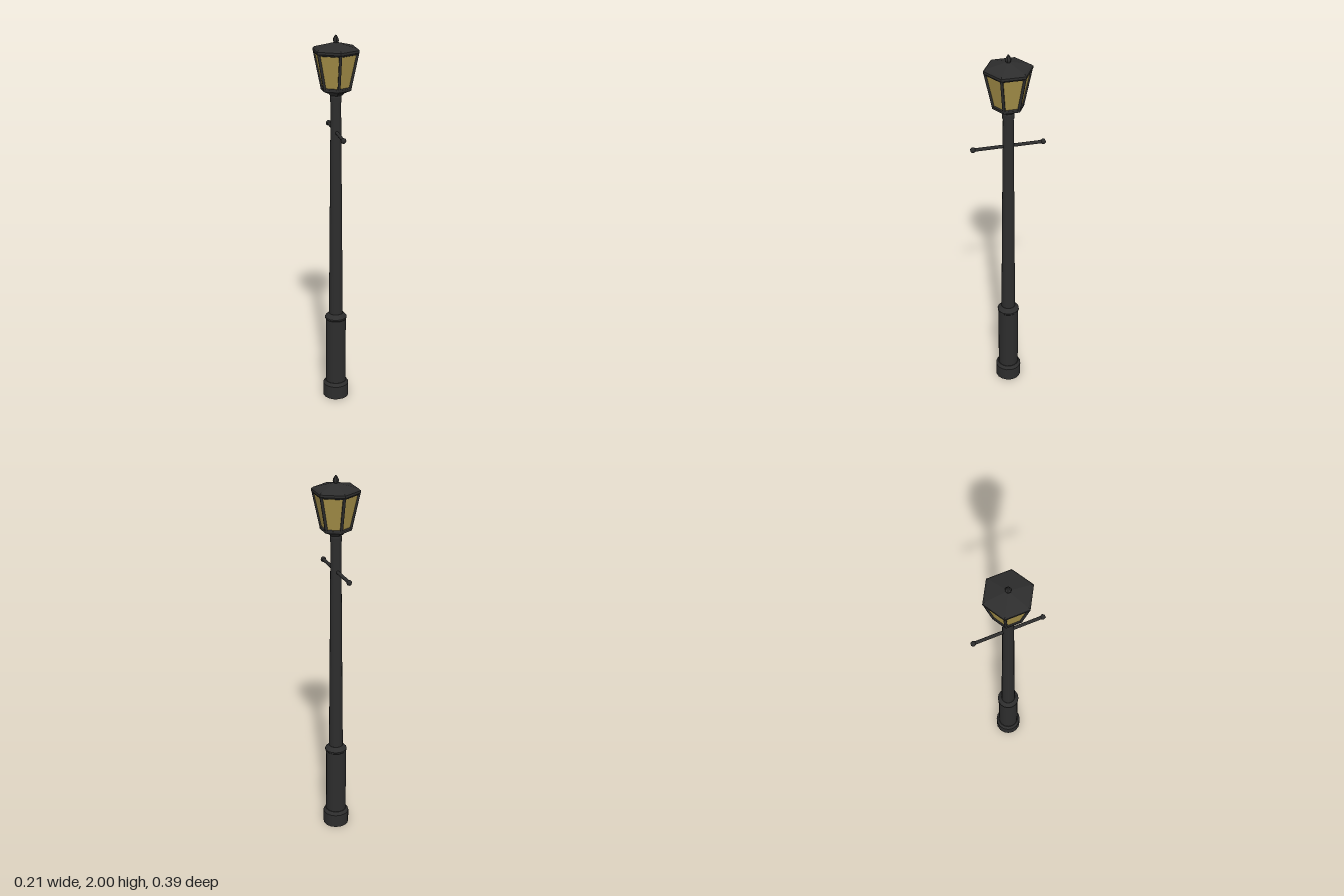
import * as THREE from 'three';

const iron = new THREE.MeshStandardMaterial({ color: 0x2d2d2d });
iron.name = 'blackIron';
const amber = new THREE.MeshStandardMaterial({ color: 0xa8924a });
amber.name = 'amberGlass';

export function createModel() {
  const model = new THREE.Group();
  model.name = 'streetLamp';

  const add = (parent, name, geometry, material = iron) => {
    const mesh = new THREE.Mesh(geometry, material);
    mesh.name = name;
    parent.add(mesh);
    return mesh;
  };

  // Stack of tapered rings from [radius, y] points, sharp between rings, closed at both ends
  const stack = (name, points, sides) => {
    const group = new THREE.Group();
    group.name = name;
    for (let i = 0; i + 1 < points.length; i++) {
      const [r0, y0] = points[i], [r1, y1] = points[i + 1];
      let g = new THREE.CylinderGeometry(r1, r0, y1 - y0, sides, 1, false);
      g.translate(0, (y0 + y1) / 2, 0);
      if (sides === 6) {
        g = g.toNonIndexed();
        g.computeVertexNormals();
      }
      add(group, name + 'Ring', g);
    }
    model.add(group);
    return group;
  };

  // Round bar between two points
  const bar = (parent, name, a, b, radius, sides) => {
    const dir = b.clone().sub(a);
    const mesh = add(parent, name, new THREE.CylinderGeometry(radius, radius, dir.length(), sides));
    mesh.position.copy(a).add(b).multiplyScalar(0.5);
    mesh.quaternion.setFromUnitVectors(new THREE.Vector3(0, 1, 0), dir.normalize());
    return mesh;
  };

  // Post
  stack('base', [[0.07, 0], [0.07, 0.075], [0.058, 0.092]], 16);
  stack('pedestal', [[0.055, 0.09], [0.055, 0.468]], 16);
  stack('pedestalCollar', [[0.054, 0.464], [0.059, 0.47], [0.059, 0.478], [0.039, 0.5]], 16);
  stack('shaft', [[0.038, 0.498], [0.027, 1.67]], 16);
  stack('neck', [[0.03, 1.665], [0.03, 1.69], [0.026, 1.705]], 16);

  // Ladder rest with knobs
  bar(model, 'ladderBar', new THREE.Vector3(0, 1.51, -0.182), new THREE.Vector3(0, 1.51, 0.182), 0.0088, 8);
  for (const side of [-1, 1]) {
    const knob = add(model, 'ladderKnob', new THREE.SphereGeometry(0.0145, 6, 6));
    knob.position.set(0, 1.51, side * 0.18);
  }

  // Lantern tray, roof and finial
  stack('lanternTray', [[0.034, 1.7], [0.046, 1.712], [0.081, 1.727], [0.081, 1.738]], 6);
  stack('roof', [[0.118, 1.912], [0.123, 1.918], [0.123, 1.93], [0.113, 1.938], [0.014, 1.963]], 6);
  stack('finial', [[0.009, 1.958], [0.016, 1.974], [0.014, 1.983], [0.004, 2]], 6);

  // Glass panes
  const glass = new THREE.CylinderGeometry(0.113, 0.073, 0.178, 6, 1, true).toNonIndexed();
  glass.computeVertexNormals();
  glass.translate(0, 1.825, 0);
  add(model, 'glassPanes', glass, amber);

  // Frame posts and rails along the pane edges
  const frame = new THREE.Group();
  frame.name = 'lanternFrame';
  const corner = (i, r, y) => new THREE.Vector3(r * Math.sin(i * Math.PI / 3), y, r * Math.cos(i * Math.PI / 3));
  for (let i = 0; i < 6; i++) {
    bar(frame, 'framePost', corner(i, 0.074, 1.735), corner(i, 0.113, 1.915), 0.0075, 6);
    bar(frame, 'topRail', corner(i, 0.113, 1.914), corner(i + 1, 0.113, 1.914), 0.006, 6);
    bar(frame, 'bottomRail', corner(i, 0.074, 1.738), corner(i + 1, 0.074, 1.738), 0.006, 6);
  }
  model.add(frame);

  return model;
}
